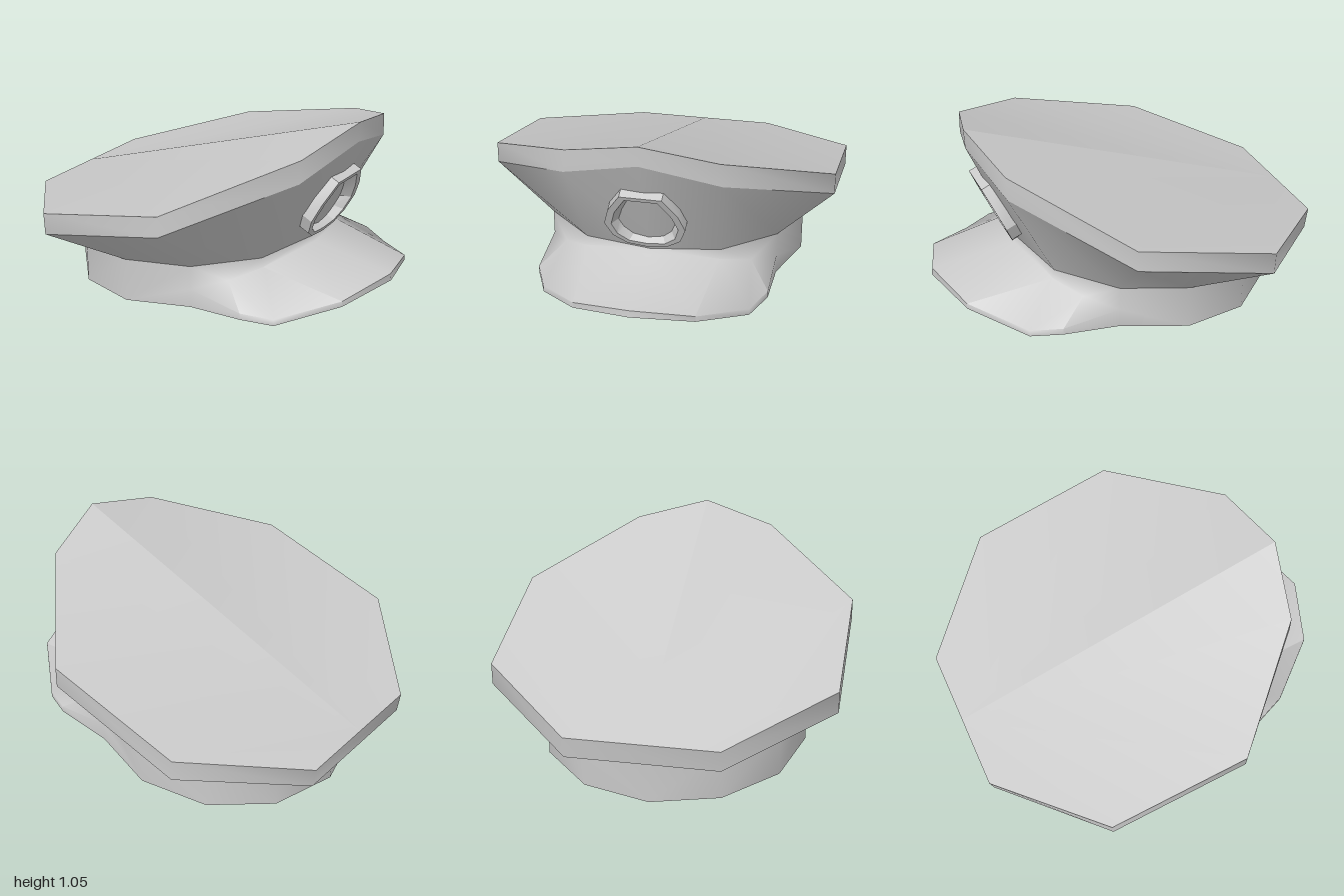
import * as THREE from 'three';
import { toCreasedNormals } from 'three/addons/utils/BufferGeometryUtils.js';

const CZ = -0.15; // centre of the headband
const R = 0.695;

const flip = ([x, y, z]) => [-x, y, z];
// Half outline (x >= 0) to a closed ring; the first point repeats at the end
const ring = (half) => [...half, ...half.filter((p) => p[0] > 1e-6).reverse().map(flip), half[0]];
// Triangles plus their mirror images, with the corner order kept outward
const mirrored = (tris) => [...tris, ...tris.map(([a, b, c]) => [flip(a), flip(c), flip(b)])];

const byIndex = (list, i) => i;
const byAngle = (list, i) => {
  if (i === list.length - 1) return Math.PI * 2;
  const t = Math.atan2(list[i][0], list[i][2] - CZ);
  return t < -1e-6 ? t + Math.PI * 2 : t;
};

// Triangles between a lower and an upper line of points
function stitch(a, b, key = byIndex) {
  const tris = [];
  let i = 0, j = 0;
  while (i < a.length - 1 || j < b.length - 1) {
    const ka = i < a.length - 1 ? key(a, i + 1) : Infinity;
    const kb = j < b.length - 1 ? key(b, j + 1) : Infinity;
    if (ka <= kb) tris.push([a[i], a[++i], b[j]]);
    else tris.push([a[i], b[j + 1], b[j++]]);
  }
  return tris;
}

// Triangles from one point to each edge of a line
const fan = (c, pts) => pts.slice(1).map((p, i) => [c, pts[i], p]);

function part(name, tris, crease) {
  const solid = tris.filter(([a, b, c]) => a !== b && b !== c && a !== c);
  let geo = new THREE.BufferGeometry();
  geo.setAttribute('position', new THREE.Float32BufferAttribute(solid.flat(2), 3));
  geo = toCreasedNormals(geo, crease);
  const mesh = new THREE.Mesh(geo, new THREE.MeshStandardMaterial({ color: 0xcccccc, side: THREE.DoubleSide }));
  mesh.name = name;
  return mesh;
}

export function createModel() {
  const cap = new THREE.Group();
  cap.name = 'peakedCap';

  // Headband outlines: leaning twelve-sided rings
  const bandHalf = (height) => Array.from({ length: 7 }, (_, k) => {
    const t = (k * Math.PI) / 6;
    const z = CZ + R * Math.cos(t);
    return [k % 6 ? R * Math.sin(t) : 0, height(z), z];
  });
  const low = bandHalf((z) => 0.0955 * (z + 0.845));
  const high = bandHalf((z) => 0.245 + 0.081 * (z + 0.845));
  high[0][2] = 0.525;
  high[6][2] = -0.86;

  // Headband and visor as one flowing surface
  const root = [0.602, 0.2, 0.1975];
  const inner = [[0, 0.335, 0.545], [0.345, 0.3, 0.46], [0.49, 0.25, 0.35], root];
  const edgeTop = [[0, 0.285, 0.995], [0.305, 0.235, 0.905], [0.53, 0.148, 0.655], [0.6, 0.165, 0.5]];
  const edgeLow = [[0, 0.25, 1], [0.305, 0.205, 0.905], [0.53, 0.115, 0.655], [0.6, 0.13, 0.5]];
  cap.add(part('headbandAndVisor', mirrored([
    ...stitch(inner, [high[0], high[1], high[2], high[2]]),
    ...stitch(edgeTop, inner),
    ...stitch([...edgeLow, low[2]], [...edgeTop, root]),
    ...fan(low[3], [high[3], high[2], root, low[2]]),
    ...stitch(low.slice(3), high.slice(3)),
  ]), 1.2));

  // Underside, closing the cap from the visor edge to the back
  const outline = ring([...edgeLow, ...low.slice(2)]);
  cap.add(part('underside', fan([0, 0.07, CZ], outline.reverse()), 0.9));

  // Crown: flared sides, rim and a sloping top with a central ridge
  const rimLow = ring([[0, 0.945, 0.78], [0.39, 0.835, 0.695], [0.884, 0.61, 0.225], [0.884, 0.41, -0.515], [0.38, 0.285, -0.985]]);
  const rimTop = ring([[0, 1.05, 0.785], [0.38, 0.955, 0.697], [0.884, 0.72, 0.225], [0.884, 0.525, -0.52], [0.38, 0.395, -1]]);
  cap.add(part('crownSides', stitch(ring(high), rimLow, byAngle), 0.9));
  cap.add(part('crownRim', stitch(rimLow, rimTop), 0.9));
  cap.add(part('crownTop', mirrored(fan([0, 0.395, -1], rimTop.slice(0, 5))), 0.3));

  // Badge: an open frame with a sloping inner wall, lying on the front
  const loop = (pts, z) => ring(pts.map(([x, y]) => [x, (y - 0.575) / 0.913, z]));
  const outer = [[0, 0.4], [0.1, 0.415], [0.17, 0.465], [0.203, 0.55], [0.175, 0.645], [0.105, 0.752]];
  const holeFront = loop([[0, 0.425], [0.09, 0.436], [0.145, 0.48], [0.168, 0.55], [0.142, 0.635], [0.082, 0.73]], 0);
  const holeBack = loop([[0, 0.435], [0.07, 0.443], [0.115, 0.48], [0.137, 0.53], [0.112, 0.6], [0.062, 0.695]], -0.06);
  const front = loop(outer, 0);
  const badge = part('badgeFrame', [
    ...stitch(loop(outer, -0.06), front),
    ...stitch(front, holeFront),
    ...stitch(holeFront, holeBack),
  ], 0.5);
  badge.rotation.x = 0.42;
  badge.position.set(0, 0.575, 0.66);
  cap.add(badge);

  return cap;
}
